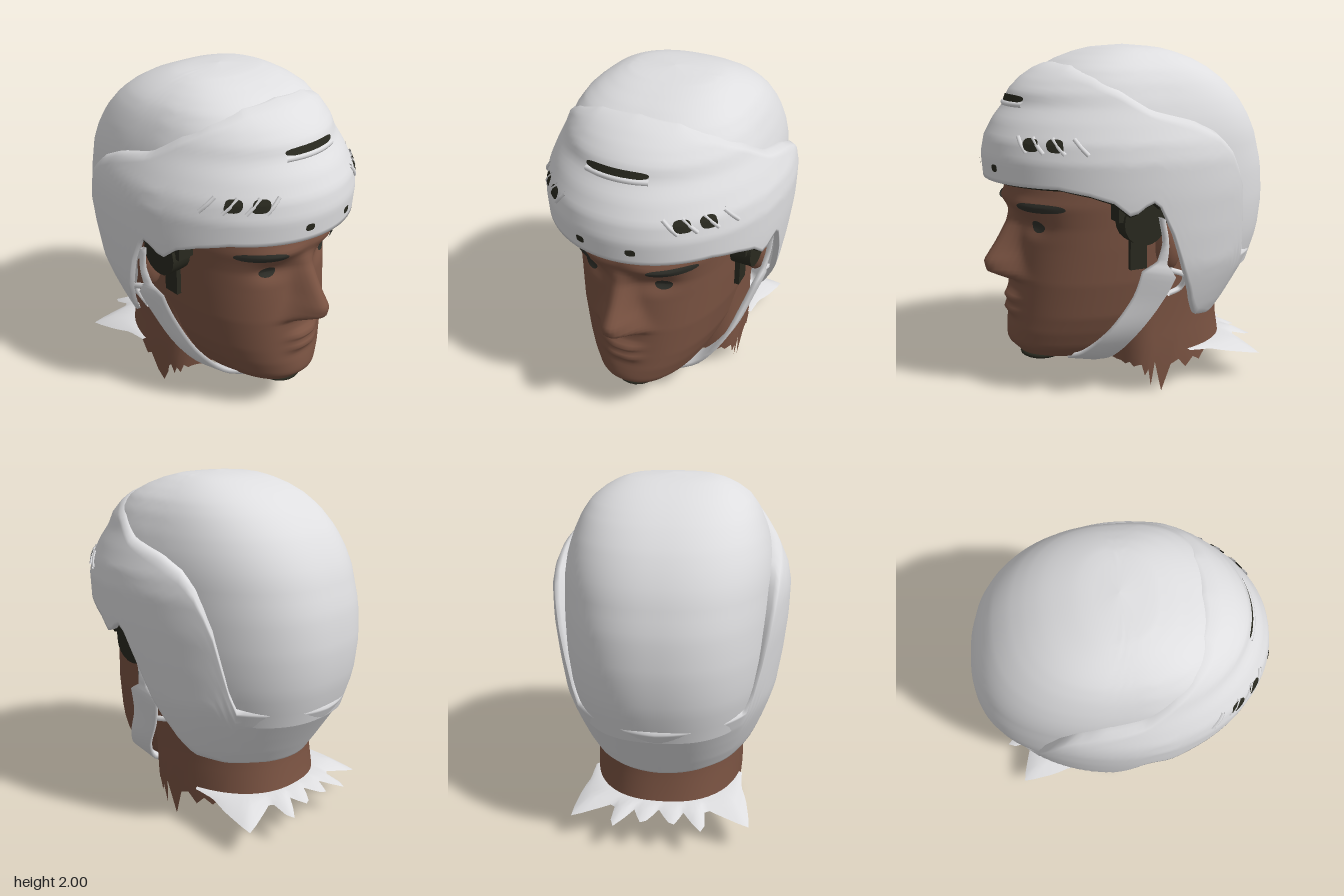
import * as THREE from 'three';

const mat = (name, color) => new THREE.MeshStandardMaterial({ name, color, side: THREE.DoubleSide });
const rad = THREE.MathUtils.degToRad;

// Linear lookup in rows of [key, v1, v2, ...] sorted by rising key
function lookup(table, k) {
  if (k <= table[0][0]) return table[0].slice(1);
  for (let i = 1; i < table.length; i++) {
    const a = table[i - 1], b = table[i];
    if (k <= b[0]) return a.slice(1).map((v, j) => v + (b[j + 1] - v) * (k - a[0]) / (b[0] - a[0]));
  }
  return table[table.length - 1].slice(1);
}

// Mirrored lookup by angle in degrees: 0 is the front, 180 the back
const around = (table, a) => lookup(table, 180 - Math.abs(180 - ((a % 360) + 360) % 360))[0];

// Superellipse ring point; profile rows are [y, half width, front z, back depth]
function ring(profile, a, y, n = 2, scale = 1) {
  const [w, f, b] = lookup(profile, y), s = Math.sin(rad(a)), c = Math.cos(rad(a));
  const r = scale * Math.pow(Math.abs(s) ** n + Math.abs(c) ** n, -1 / n);
  return [w * s * r, y, (c > 0 ? f : b) * c * r];
}

// Surface through rows x columns of points, wrapping round when closed
function grid(rows, cols, closed, fn) {
  const pos = [], idx = [], span = closed ? cols : cols - 1;
  for (let i = 0; i < rows; i++) for (let j = 0; j < cols; j++) pos.push(...fn(i, j));
  for (let i = 0; i < rows - 1; i++) for (let j = 0; j < span; j++) {
    const k = (j + 1) % cols, a = i * cols + j, b = i * cols + k, c = a + cols, d = b + cols;
    idx.push(a, c, b, b, c, d);
  }
  const g = new THREE.BufferGeometry();
  g.setAttribute('position', new THREE.Float32BufferAttribute(pos, 3));
  g.setIndex(idx);
  g.computeVertexNormals();
  return g;
}

// Profiles
const CROWN = [[0.7, 0.52, 0.6, 0.79], [0.9, 0.57, 0.65, 0.85], [1.1, 0.59, 0.7, 0.868], [1.3, 0.595, 0.7, 0.85],
  [1.5, 0.59, 0.68, 0.792], [1.6, 0.575, 0.65, 0.742], [1.7, 0.545, 0.61, 0.675], [1.8, 0.5, 0.54, 0.575], [1.87, 0.45, 0.47, 0.475],
  [1.92, 0.385, 0.38, 0.38], [1.96, 0.31, 0.27, 0.27], [1.985, 0.23, 0.17, 0.17], [2, 0, 0, 0]];
const SHELL = [[0.41, 0.48, 0.7, 0.6], [0.5, 0.53, 0.75, 0.66], [0.6, 0.57, 0.78, 0.725], [0.7, 0.605, 0.8, 0.79], [0.8, 0.635, 0.81, 0.84],
  [1, 0.665, 0.82, 0.865], [1.2, 0.685, 0.825, 0.89], [1.27, 0.688, 0.83, 0.885], [1.4, 0.69, 0.84, 0.86], [1.5, 0.67, 0.82, 0.82],
  [1.6, 0.625, 0.765, 0.76], [1.68, 0.585, 0.7, 0.71], [1.75, 0.555, 0.675, 0.65], [1.82, 0.515, 0.605, 0.58], [1.88, 0.475, 0.51, 0.5], [1.91, 0.445, 0.445, 0.44]];
const SHELL_TOP = [[0, 1.9], [30, 1.885], [53, 1.83], [68, 1.76], [82, 1.66], [101, 1.6], [112, 1.53], [118, 1.43],
  [124, 1.2], [128, 0.95], [132, 0.81], [180, 0.78]];
const SHELL_RIM = [[0, 1.27], [45, 1.27], [57, 1.24], [66, 1.2], [73, 1.12], [80, 1.2], [83, 1.19], [90, 1], [97, 0.75],
  [106, 0.55], [113, 0.46], [130, 0.42], [180, 0.41]];
const HEAD = [[0.2, 0.2, 0.56, 0.1], [0.23, 0.28, 0.66, 0.2], [0.3, 0.34, 0.715, 0.3], [0.4, 0.385, 0.72, 0.4], [0.5, 0.42, 0.71, 0.5],
  [0.7, 0.455, 0.7, 0.55], [0.9, 0.47, 0.68, 0.55], [1.02, 0.475, 0.68, 0.55], [1.14, 0.48, 0.71, 0.55], [1.25, 0.48, 0.7, 0.55], [1.5, 0.45, 0.62, 0.5]];
const NECK = [[0, 0.43, 0.2, 0.62], [0.2, 0.45, 0.22, 0.62], [0.42, 0.445, 0.25, 0.58], [0.9, 0.46, 0.3, 0.6]];
const NOSE = [[0.68, 0, 0.13], [0.705, 0.08, 0.13], [0.74, 0.155, 0.11], [0.8, 0.175, 0.09], [0.86, 0.14, 0.075], [0.95, 0.085, 0.065], [1.02, 0.045, 0.06], [1.1, 0, 0.07]];

const gauss = (v, w) => Math.exp(-((v / w) ** 2));

// Head surface with nose, eye sockets, brow, lips and chin raised from the ring
function headPoint(a, y) {
  const p = ring(HEAD, a, y, 2.4), x = p[0];
  if (Math.cos(rad(a)) > 0) {
    const [h, w] = lookup(NOSE, y), ax = Math.abs(x), mouth = Math.exp(-((ax / 0.11) ** 3));
    p[2] += h * Math.exp(-((ax / w) ** 2.6)) - 0.035 * gauss(ax - 0.2, 0.1) * gauss(y - 1.02, 0.06)
      + 0.02 * gauss(y - 1.14, 0.04) * gauss(ax - 0.2, 0.16) + 0.015 * gauss(y - 0.33, 0.07) * gauss(x, 0.13)
      + mouth * (0.038 * gauss(y - 0.57, 0.028) + 0.035 * gauss(y - 0.5, 0.03));
  }
  return p;
}
const shellPoint = (a, y) => ring(SHELL, a, y);

// Thin oval or slanted plate lying on the front of a surface
function plate(surface, cx, cy, rx, ry, n = 2, slant = 0) {
  const zAt = (x, y) => {
    let lo = -90, hi = 90;
    for (let i = 0; i < 24; i++) {
      const mid = (lo + hi) / 2;
      if (surface(mid, y)[0] < x) lo = mid; else hi = mid;
    }
    return surface(lo, y)[2];
  };
  return grid(5, 24, true, (i, j) => {
    const t = j / 24 * Math.PI * 2, s = Math.sin(t), c = Math.cos(t);
    const r = (i / 4) * Math.pow(Math.abs(s) ** n + Math.abs(c) ** n, -1 / n);
    const y = cy + ry * r * s, x = cx - rx * r * c + slant * (y - cy);
    return [x + Math.sign(cx) * 0.004, y, zAt(x, y) + 0.008];
  });
}

// Flat strap with rows of [x, y, z, width along z]
function strapGeometry(rows, side) {
  const pts = rows.map(r => new THREE.Vector3(r[0] * side, r[1], r[2]));
  const curve = new THREE.CatmullRomCurve3(pts), N = 28;
  return grid(N + 1, 4, true, (i, j) => {
    const u = i / N, p = curve.getPoint(u), k = u * (rows.length - 1);
    const w = lookup(rows.map((r, q) => [q, r[3]]), k)[0] / 2;
    const t = curve.getTangent(u), out = new THREE.Vector3(-t.y * side, t.x * side, 0).normalize().multiplyScalar(0.012);
    const e = j === 0 || j === 3 ? 1 : -1, f = j < 2 ? 1 : -1;
    return [p.x + out.x * f, p.y + out.y * f + e * w * 0.25, p.z + e * w];
  });
}

export function createModel() {
  const white = mat('helmetWhite', 0xdedee0), skin = mat('skin', 0x7a5342), dark = mat('paddingBlack', 0x29291f), iris = mat('browDark', 0x30302a);
  const model = new THREE.Group();
  const add = (name, geometry, material, parent = model) => {
    const m = new THREE.Mesh(geometry, material);
    m.name = name;
    parent.add(m);
    return m;
  };
  const C = 120, ang = j => j * 360 / C;

  // Helmet crown dome
  add('helmetCrown', grid(33, C, true, (i, j) => {
    const a = ang(j), low = Math.max(0.7, around(SHELL_RIM, a) + 0.08);
    return ring(CROWN, a, 2 - (2 - low) * (i / 32) ** 2, 2.5);
  }), white);

  // Outer shell: brow, sides and back, with turned-in edges
  const R = 26;
  add('helmetShell', grid(R + 4, C, true, (i, j) => {
    const a = ang(j), top = around(SHELL_TOP, a), rim = around(SHELL_RIM, a);
    if (i === 0) return ring(SHELL, a, top, 2, 0.88);
    if (i === 1) return ring(SHELL, a, top + 0.005, 2, 0.97);
    if (i === R + 3) return ring(SHELL, a, rim + 0.005, 2, 0.95);
    return ring(SHELL, a, top - 0.02 + (rim - top + 0.02) * (i - 2) / R, 2);
  }), white);

  // Dark liner under the brow, from temple to temple
  add('browLiner', grid(3, 57, false, (i, j) => {
    const a = -84 + j * 3, rim = around(SHELL_RIM, a);
    return ring(SHELL, a, rim + [0.13, -0.015, 0.02][i], 2, [0.94, 0.95, 0.8][i]);
  }), dark);

  // Front vent with a raised lower lip
  add('frontVent', plate(shellPoint, 0, 1.712, 0.175, 0.02, 3), dark);
  const lip = [-0.18, -0.09, 0, 0.09, 0.18].map(x => {
    const p = shellPoint(Math.asin(x / 0.6) * 180 / Math.PI, 1.68);
    return new THREE.Vector3(p[0], p[1], p[2]);
  });
  add('frontVentLip', new THREE.TubeGeometry(new THREE.CatmullRomCurve3(lip), 16, 0.016, 8), white);

  // Head and neck
  add('head', grid(72, 144, true, (i, j) => i === 71 ? [0, 0.19, 0.2] : headPoint(j * 2.5, 1.5 - 1.3 * i / 70)), skin);
  const spikes = [0.02, 0.12, 0.05, 0.16, 0, 0.1, 0.04];
  add('neck', grid(8, 72, true, (i, j) => {
    const a = j * 5, near = gauss(Math.abs(180 - a) - 88, 28);
    const drop = j === 19 || j === 53 ? 0.2 : spikes[j % 7] * near;
    return ring(NECK, a, i === 7 ? 0.2 - drop : 0.9 - 0.7 * i / 6.5, 2.4);
  }), skin);

  // Paired parts
  for (const side of [1, -1]) {
    const g = new THREE.Group();
    g.name = side > 0 ? 'leftSide' : 'rightSide';
    model.add(g);

    // Eye and eyebrow
    add('eye', plate(headPoint, side * 0.22, 1.02, 0.045, 0.034), iris, g);
    add('eyebrow', plate(headPoint, side * 0.27, 1.135, 0.11, 0.026, 2.6), iris, g);

    // Side vents, frame ribs and brow vent
    [[0.365, 0.036], [0.465, 0.03]].forEach(([x, w]) => add('sideVent', plate(shellPoint, side * x, 1.495, w, 0.034, 3, -side * 0.35), dark, g));
    [28, 36, 45, 54].forEach(a => {
      const pts = [1.45, 1.49, 1.53].map((y, k) => new THREE.Vector3(...shellPoint(side * (a + 3 - k * 3), y)));
      add('ventRib', new THREE.TubeGeometry(new THREE.CatmullRomCurve3(pts), 8, 0.012, 6), white, g);
    });
    add('browVent', plate(shellPoint, side * 0.14, 1.35, 0.026, 0.02, 3), dark, g);

    // Ear and padding
    const ear = add('ear', new THREE.SphereGeometry(1, 20, 14), skin, g);
    ear.scale.set(0.07, 0.13, 0.07);
    ear.position.set(side * 0.515, 0.9, -0.04);
    const pad = add('earPad', new THREE.CylinderGeometry(0.125, 0.125, 0.12, 20), dark, g);
    pad.rotation.z = -side * Math.PI / 2;
    pad.position.set(side * 0.52, 1.07, 0.13);
    const temple = add('templePad', new THREE.BoxGeometry(0.1, 0.2, 0.16), dark, g);
    temple.position.set(side * 0.51, 1.18, 0.2);
    const tab = add('padTab', new THREE.BoxGeometry(0.03, 0.24, 0.1), dark, g);
    tab.position.set(side * 0.482, 0.91, 0.13);

    // Chin strap and its rear loop
    add('chinStrap', strapGeometry([[0.63, 1.1, 0.06, 0.03], [0.61, 0.95, 0.025, 0.03], [0.59, 0.84, 0.035, 0.05], [0.575, 0.77, 0.045, 0.2], [0.53, 0.62, 0.09, 0.17],
      [0.46, 0.42, 0.21, 0.16], [0.34, 0.27, 0.31, 0.18], [0.2, 0.2, 0.36, 0.17]], side), white, g);
    const loop = [[0.575, 0.79, -0.02], [0.57, 0.74, -0.12], [0.53, 0.66, -0.11], [0.54, 0.64, -0.03]];
    add('strapLoop', new THREE.TubeGeometry(new THREE.CatmullRomCurve3(loop.map(p => new THREE.Vector3(p[0] * side, p[1], p[2]))), 16, 0.017, 6), white, g);
  }

  // Chin cup under the jaw
  const cup = add('chinCup', new THREE.SphereGeometry(1, 20, 12), dark);
  cup.scale.set(0.13, 0.035, 0.13);
  cup.position.set(0, 0.207, 0.53);

  // Ragged collar round the back of the neck, longest at the rear corners
  const REACH = [[112, 0.02], [122, 0.06], [132, 0.19], [138, 0.28], [145, 0.16], [152, 0.07], [158, 0.24], [165, 0.08], [172, 0.17], [180, 0.06]];
  add('collar', grid(3, 47, false, (i, j) => {
    const a = 111 + j * 3, p = ring(NECK, a, 0.24, 2.4), k = i / 2 * around(REACH, a);
    return [p[0] + Math.sin(rad(a)) * k, 0.235 - k * (i === 2 ? 0.3 : 0.1), p[2] + Math.cos(rad(a)) * k];
  }), white);

  return model;
}
